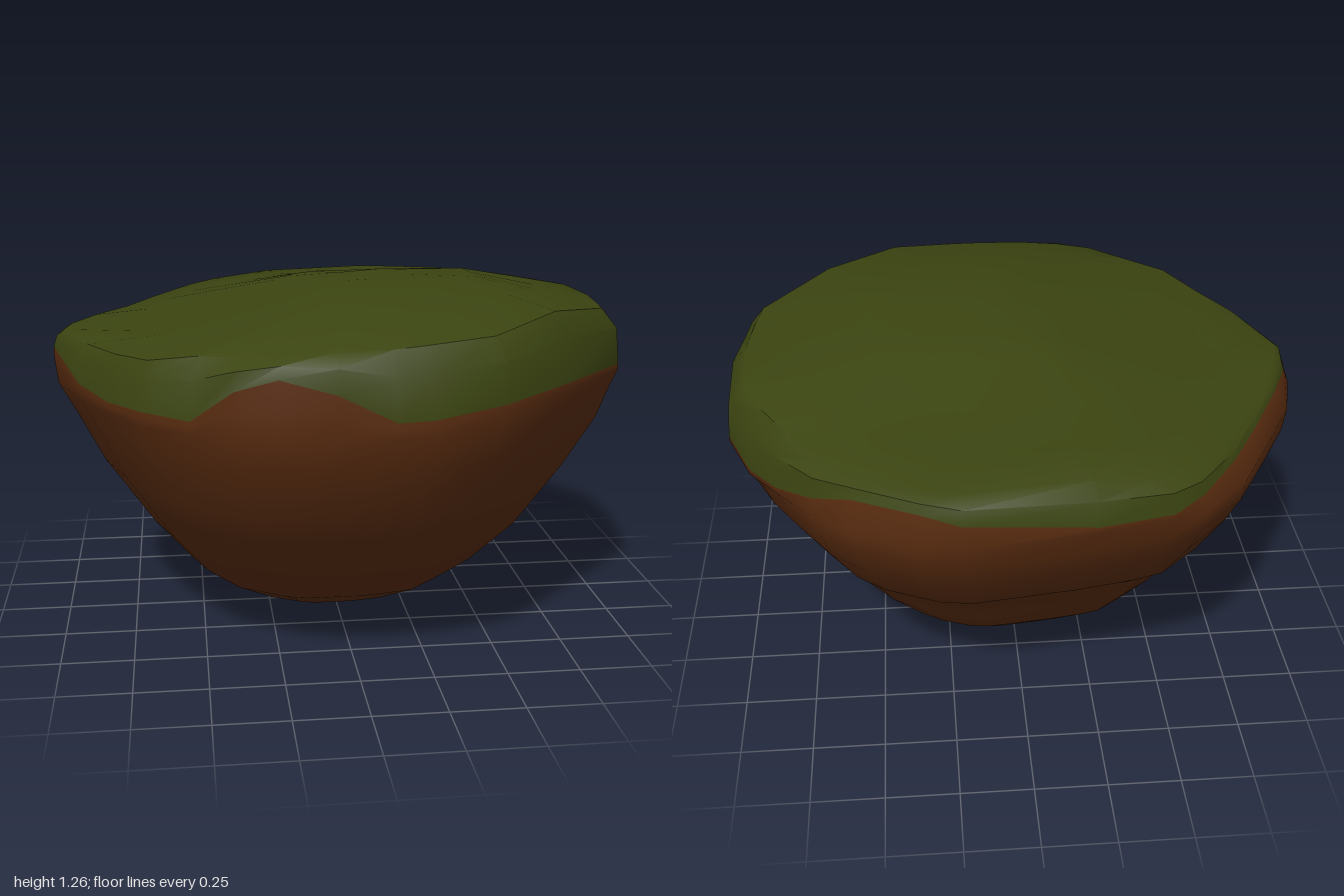
import * as THREE from 'three';
import { mergeVertices, toCreasedNormals } from 'three/addons/utils/BufferGeometryUtils.js';

// Outline, clockwise from above: x, z, height of the grass seam, seam inset scale
const OUTLINE = [
  [0.99, 0.05, 1.0, 1], [0.97, 0.25, 0.95, 1], [0.95, 0.37, 0.97, 1], [0.70, 0.63, 0.97, 1],
  [0.43, 0.89, 0.97, 1], [0.20, 0.94, 0.94, 1], [0.08, 0.96, 0.94, 1], [-0.10, 0.96, 1.03, 1],
  [-0.28, 0.96, 1.08, 0.99], [-0.41, 0.92, 1.04, 1], [-0.54, 0.83, 0.93, 1], [-0.69, 0.73, 0.94, 1],
  [-0.80, 0.55, 0.93, 1], [-0.90, 0.37, 0.95, 1], [-1.0, 0.09, 1.02, 1], [-1.0, -0.03, 1.03, 0.98],
  [-0.95, -0.22, 1.05, 0.95], [-0.83, -0.44, 1.04, 0.95], [-0.71, -0.65, 1.04, 0.95], [-0.55, -0.81, 1.03, 0.98],
  [-0.44, -0.85, 1.0, 1], [-0.2, -0.90, 1.0, 1], [0.22, -0.96, 1.06, 0.99], [0.35, -0.94, 1.09, 0.98],
  [0.56, -0.84, 1.09, 0.98], [0.68, -0.74, 1.04, 0.99], [0.80, -0.56, 0.97, 1], [0.9, -0.4, 0.94, 1], [0.98, -0.23, 0.97, 1],
];

// Rock levels: y, then reach towards -x, +x, +z, -z
const LEVELS = [
  [0.02, 0.18, 0.09, 0.08, 0.08], [0.09, 0.36, 0.31, 0.28, 0.25], [0.2, 0.54, 0.5, 0.5, 0.38],
  [0.35, 0.67, 0.655, 0.63, 0.5], [0.49, 0.765, 0.745, 0.75, 0.6], [0.6, 0.84, 0.815, 0.84, 0.74],
  [0.78, 0.93, 0.92, 0.93, 0.88], [0.89, 0.99, 0.96, 0.96, 0.93],
];

// Straight-line interpolation through [position, value] pairs
function along(pairs, t) {
  if (t <= pairs[0][0]) return pairs[0][1];
  for (let i = 1; i < pairs.length; i++) {
    const [a, u] = pairs[i - 1], [b, v] = pairs[i];
    if (t <= b) return u + (v - u) * (t - a) / (b - a);
  }
  return pairs[pairs.length - 1][1];
}

// Height of the gently domed, tilted top
const DROP_X = [[-0.95, 0.18], [-0.78, 0.18], [0, 0], [0.45, 0], [0.9, 0.1]];
const DROP_Z = [[-0.87, 0.12], [-0.55, 0.1], [-0.14, 0.02], [0.2, 0], [0.45, 0.01], [0.85, 0.09], [0.96, 0.13]];
const topHeight = (x, z) => 1.26 - Math.hypot(along(DROP_X, x), along(DROP_Z, z));

// Joins rings from bottom to top; an end point closes the first or last ring
function loft(rings, bottom, top) {
  const n = rings[0].length, pos = rings.flat(2), index = [];
  for (let r = 0; r < rings.length - 1; r++) {
    for (let i = 0; i < n; i++) {
      const a = r * n + i, b = r * n + (i + 1) % n;
      index.push(a, a + n, b, b, a + n, b + n);
    }
  }
  const end = rings.length * n, last = end - n;
  if (bottom) pos.push(...bottom);
  if (top) pos.push(...top);
  for (let i = 0; i < n; i++) {
    const j = (i + 1) % n;
    if (bottom) index.push(end, i, j);
    if (top) index.push(last + i, end, last + j);
  }
  const g = new THREE.BufferGeometry();
  g.setAttribute('position', new THREE.Float32BufferAttribute(pos, 3));
  g.setIndex(index);
  return g;
}

export function createModel() {
  const group = new THREE.Group();
  const earth = new THREE.MeshStandardMaterial({ color: 0x592c10 });
  earth.name = 'brown earth';
  const grass = new THREE.MeshStandardMaterial({ color: 0x3b4411 });
  grass.name = 'dark green grass';

  const seam = OUTLINE.map(([x, z, y, s]) => [x * s, y, z * s]);

  // Earth: tapering underside up to the ragged seam
  const rockRings = LEVELS.map(([y, left, right, front, back]) =>
    OUTLINE.map(([x, z]) => [x * (x < 0 ? left : right / 0.99), y, z * (z > 0 ? front : back) / 0.96]));
  rockRings.push(OUTLINE.map(([x, z, y]) => [x, Math.min(0.98, y - 0.02), z]));
  rockRings.push(seam);
  const rockGeometry = loft(rockRings, [-0.02, 0, 0.01], null);
  rockGeometry.computeVertexNormals();
  const rock = new THREE.Mesh(rockGeometry, earth);
  rock.name = 'earthUnderside';
  group.add(rock);

  // Grass: short bevelled side, rim and domed top
  const rim = seam.map(([x, y, z]) => {
    const k = x < -0.6 ? 0.96 : 0.935;
    return [x * k, Math.max(topHeight(x * k, z * k), y + 0.015), z * k];
  });
  const side = seam.map(([x, y, z], i) => [x * 0.988, y + (rim[i][1] - y) * 0.65, z * 0.988]);
  const inner = [0.75, 0.5, 0.25].map((k) =>
    seam.map(([x, , z]) => [x * k, topHeight(x * k, z * k), z * k]));
  const grassGeometry = toCreasedNormals(
    mergeVertices(loft([seam, side, rim, ...inner], null, [0, topHeight(0, 0), 0])), 0.7);
  const cap = new THREE.Mesh(grassGeometry, grass);
  cap.name = 'grassTop';
  group.add(cap);

  return group;
}
